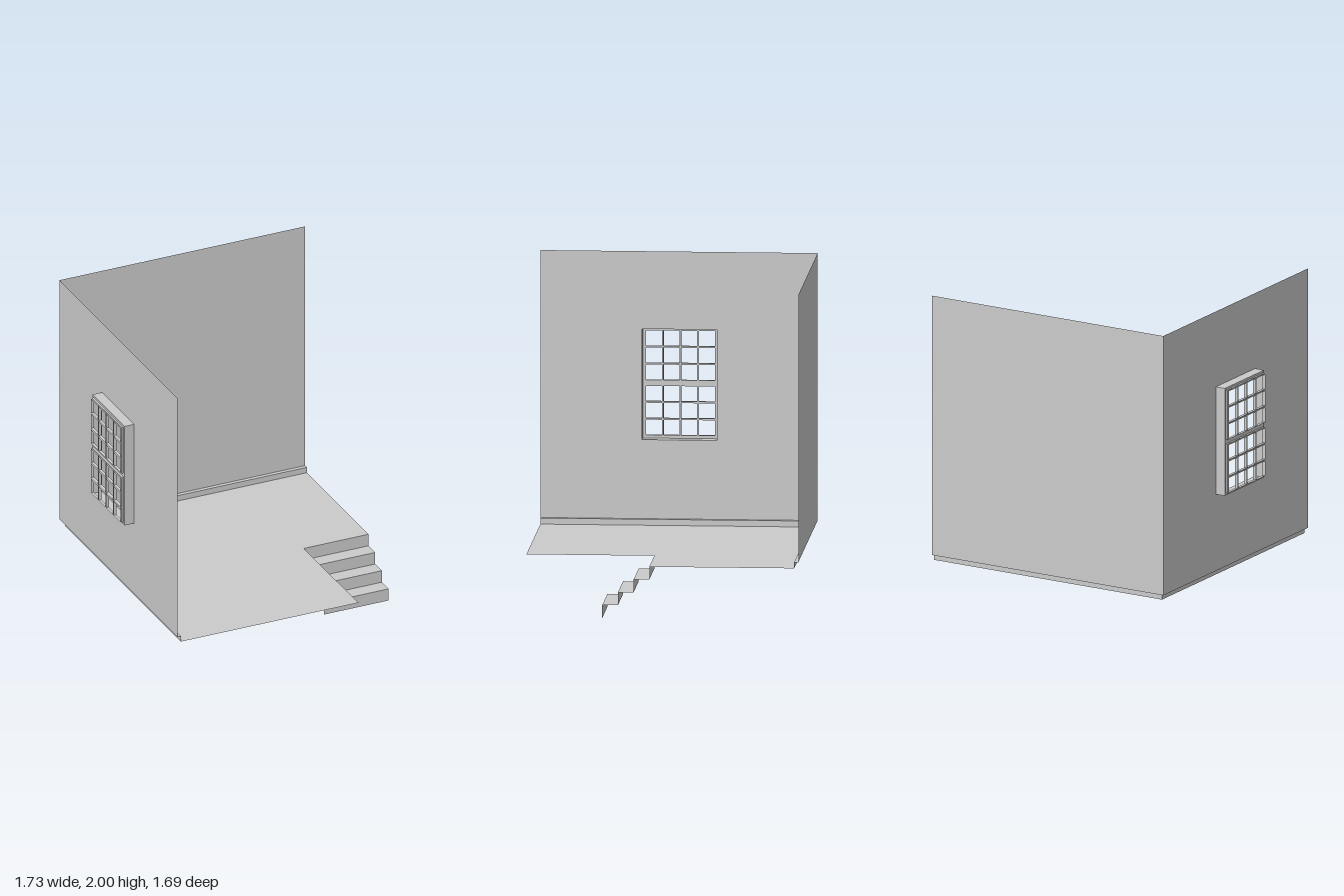
import * as THREE from 'three';

const material = new THREE.MeshStandardMaterial({ color: 0xcccccc, side: THREE.DoubleSide, flatShading: true });

// Main planes of the room
const LEFT = -0.783, RIGHT = 0.866, BACK = -0.844, FRONT = 0.844;
const FLOOR = 0.318, LEDGE = 0.355, TOP = 2, INSET = 0.025;
const STAIR_X = 0.432, STAIR_Z = 0.064;
// Window planes
const WIN = { z0: -0.232, z1: 0.226, y0: 0.841, y1: 1.522 };
const CASING_X = -0.847, GRID_X = -0.859, BEAD_X = -0.867;

function mesh(name, geometry) {
  const m = new THREE.Mesh(geometry, material);
  m.name = name;
  return m;
}

// Thin sheet lofted between matching polylines of [x, y, z] points
function sheet(name, a, b) {
  const pos = [];
  for (let i = 0; i < a.length - 1; i++) {
    pos.push(...a[i], ...b[i], ...b[i + 1], ...a[i], ...b[i + 1], ...a[i + 1]);
  }
  const g = new THREE.BufferGeometry();
  g.setAttribute('position', new THREE.Float32BufferAttribute(pos, 3));
  g.computeVertexNormals();
  return mesh(name, g);
}

function trace(path, z0, z1, y0, y1) {
  path.moveTo(z0, y0);
  path.lineTo(z1, y0);
  path.lineTo(z1, y1);
  path.lineTo(z0, y1);
  path.closePath();
  return path;
}

// Rectangle in the z-y plane with rectangular holes; depth extends towards -x
function panel(name, outer, holes, x, depth = 0) {
  const shape = trace(new THREE.Shape(), ...outer);
  holes.forEach(h => shape.holes.push(trace(new THREE.Path(), ...h)));
  const g = depth
    ? new THREE.ExtrudeGeometry(shape, { depth, bevelEnabled: false })
    : new THREE.ShapeGeometry(shape);
  g.rotateY(-Math.PI / 2).translate(x, 0, 0);
  return mesh(name, g);
}

// Open rectangular sleeve running along x
function sleeve(name, [z0, z1, y0, y1], xa, xb) {
  const loop = x => [[x, y0, z0], [x, y0, z1], [x, y1, z1], [x, y1, z0], [x, y0, z0]];
  return sheet(name, loop(xa), loop(xb));
}

function createWindow() {
  const group = new THREE.Group();
  group.name = 'window';
  const hole = [WIN.z0, WIN.z1, WIN.y0, WIN.y1];
  const z0 = WIN.z0 + 0.014, z1 = WIN.z1 - 0.014;
  const sashes = [[0.855, 1.167], [1.194, 1.508]];

  group.add(sleeve('windowJamb', hole, LEFT, CASING_X));
  group.add(panel('windowCasing', hole, sashes.map(s => [z0, z1, ...s]), CASING_X));

  // Two sashes of four by three panes
  const cols = 4, rows = 3, half = 0.005;
  sashes.forEach(([y0, y1], s) => {
    const panes = [];
    const w = (z1 - z0) / cols, h = (y1 - y0) / rows;
    for (let r = 0; r < rows; r++) {
      for (let c = 0; c < cols; c++) {
        panes.push([
          z0 + c * w + half, z0 + (c + 1) * w - half,
          y0 + r * h + half, y0 + (r + 1) * h - half,
        ]);
      }
    }
    const sash = new THREE.Group();
    sash.name = s ? 'upperSash' : 'lowerSash';
    sash.add(panel('glazingBars', [z0, z1, y0, y1], panes, CASING_X, CASING_X - GRID_X));
    // Raised bead round each pane
    panes.forEach(p => sash.add(sleeve('paneBead', p, GRID_X, BEAD_X)));
    group.add(sash);
  });
  return group;
}

function createFloor() {
  // L-shaped floor with a corner left out for the stairs
  const l = LEFT + INSET, b = BACK + INSET;
  const shape = new THREE.Shape([
    [l, b], [RIGHT, b], [RIGHT, STAIR_Z], [STAIR_X, STAIR_Z], [STAIR_X, FRONT], [l, FRONT],
  ].map(([x, z]) => new THREE.Vector2(x, -z)));
  const g = new THREE.ShapeGeometry(shape);
  g.rotateX(-Math.PI / 2).translate(0, FLOOR, 0);
  return mesh('floor', g);
}

function createStairs() {
  const steps = 4, rise = FLOOR / steps, run = 0.0955;
  const profile = [[FLOOR, STAIR_Z]];
  for (let i = 0; i < steps; i++) {
    const z = STAIR_Z + i * run, y = FLOOR - (i + 1) * rise;
    profile.push([y, z]);
    if (i < steps - 1) profile.push([y, z + run]);
  }
  const at = x => profile.map(([y, z]) => [x, y, z]);
  return sheet('stairs', at(STAIR_X), at(RIGHT));
}

export function createModel() {
  const model = new THREE.Group();
  model.name = 'room';

  // Walls
  model.add(panel('leftWall', [BACK, FRONT, LEDGE, TOP], [[WIN.z0, WIN.z1, WIN.y0, WIN.y1]], LEFT));
  model.add(sheet('backWall',
    [[LEFT, LEDGE, BACK], [RIGHT, LEDGE, BACK]],
    [[LEFT, TOP, BACK], [RIGHT, TOP, BACK]]));

  // Ledge and skirting below the walls, mitred at the corner
  const l = LEFT + INSET, b = BACK + INSET;
  const corner = [[LEFT, LEDGE, BACK], [l, LEDGE, b], [l, FLOOR, b]];
  model.add(sheet('leftSkirting', corner, corner.map(([x, y]) => [x, y, FRONT])));
  model.add(sheet('backSkirting', corner, corner.map(([, y, z]) => [RIGHT, y, z])));

  model.add(createFloor(), createStairs(), createWindow());
  return model;
}
